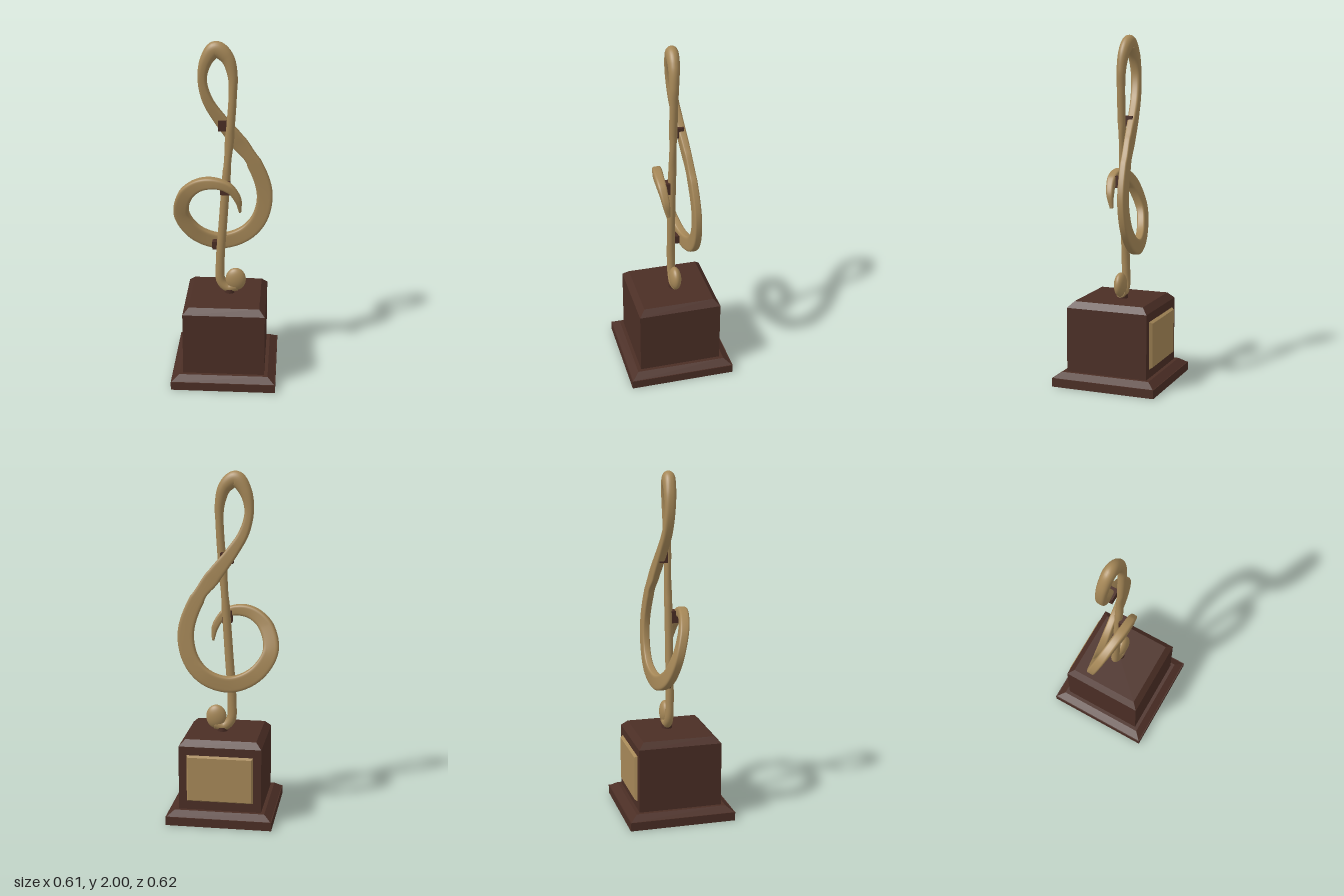
import * as THREE from 'three';

const gold = new THREE.MeshStandardMaterial({ color: 0xa58757, name: 'antique gold' });
const wood = new THREE.MeshStandardMaterial({ color: 0x4b2e25, name: 'dark wood' });

function add(parent, name, geometry, material, x = 0, y = 0, z = 0) {
  const mesh = new THREE.Mesh(geometry, material);
  mesh.name = name;
  mesh.position.set(x, y, z);
  parent.add(mesh);
  return mesh;
}

// Box from y0 to y1 whose top is drawn in by an inset
function taperedBox(width, depth, y0, y1, inset) {
  const g = new THREE.BoxGeometry(width, y1 - y0, depth);
  const p = g.attributes.position;
  for (let i = 0; i < p.count; i++) {
    if (p.getY(i) > 0) {
      p.setX(i, p.getX(i) - Math.sign(p.getX(i)) * inset);
      p.setZ(i, p.getZ(i) - Math.sign(p.getZ(i)) * inset);
    }
  }
  g.translate(0, (y0 + y1) / 2, 0);
  g.computeVertexNormals();
  return g;
}

// Sweep along stations [x, y, z, half width in plane, half depth, corner power]
// Power 1 gives a round section, smaller values a squarer one
function sweep(stations, rings, sides) {
  const path = new THREE.CatmullRomCurve3(stations.map(s => new THREE.Vector3(s[0], s[1], s[2])));
  const size = new THREE.CatmullRomCurve3(stations.map(s => new THREE.Vector3(s[3], s[4], s[5])));
  const front = new THREE.Vector3(0, 0, 1);
  const pos = [], index = [];
  const shape = (v, k) => Math.sign(v) * Math.pow(Math.abs(v), k);
  for (let i = 0; i <= rings; i++) {
    const t = i / rings;
    const c = path.getPoint(t), s = size.getPoint(t), T = path.getTangent(t);
    const N = new THREE.Vector3().crossVectors(front, T).normalize();
    const B = new THREE.Vector3().crossVectors(T, N);
    for (let j = 0; j < sides; j++) {
      const a = (j / sides) * Math.PI * 2;
      const v = c.clone()
        .addScaledVector(N, shape(Math.cos(a), s.z) * s.x)
        .addScaledVector(B, shape(Math.sin(a), s.z) * s.y);
      pos.push(v.x, v.y, v.z);
    }
  }
  for (let i = 0; i < rings; i++) {
    for (let j = 0; j < sides; j++) {
      const k = (j + 1) % sides;
      const a = i * sides + j, b = i * sides + k, c = a + sides, d = b + sides;
      index.push(a, b, c, b, d, c);
    }
  }
  // End caps
  const last = rings * sides;
  for (let j = 1; j < sides - 1; j++) {
    index.push(0, j + 1, j, last, last + j, last + j + 1);
  }
  const g = new THREE.BufferGeometry();
  g.setAttribute('position', new THREE.Float32BufferAttribute(pos, 3));
  g.setIndex(index);
  g.computeVertexNormals();
  return g;
}

export function createModel() {
  const model = new THREE.Group();
  model.name = 'trophy';

  // Stepped wooden base
  const base = new THREE.Group();
  base.name = 'base';
  model.add(base);
  add(base, 'baseSlab', new THREE.BoxGeometry(0.61, 0.05, 0.62), wood, 0, 0.025, 0);
  add(base, 'baseMoulding', taperedBox(0.6, 0.61, 0.05, 0.08, 0.041), wood);
  add(base, 'baseBody', new THREE.BoxGeometry(0.476, 0.375, 0.486), wood, 0, 0.2675, 0);
  add(base, 'baseTop', taperedBox(0.476, 0.486, 0.455, 0.49, 0.034), wood);

  // Plate on the back of the base
  const plate = add(base, 'backPlate', taperedBox(0.384, 0.275, 0, 0.016, 0.01), gold, 0, 0.268, -0.243);
  plate.rotation.x = -Math.PI / 2;

  // Clef: stem upwards, top loop, wide bowl, inner spiral
  const clef = new THREE.Group();
  clef.name = 'clef';
  model.add(clef);
  const stem = [
    [0.06, 0.533, -0.015, 0.034, 0.028, 1],
    [0.01, 0.52, -0.015, 0.028, 0.027, 1],
    [-0.03, 0.56, -0.015, 0.028, 0.025, 1],
    [-0.036, 0.67, -0.012, 0.026, 0.024, 1],
    [-0.018, 0.95, -0.01, 0.025, 0.023, 1],
    [0.003, 1.25, -0.01, 0.024, 0.023, 1],
    [0.023, 1.5, -0.01, 0.024, 0.023, 1],
    [0.036, 1.7, -0.01, 0.023, 0.024, 1],
    [0.035, 1.81, -0.012, 0.028, 0.027, 1],
  ];
  const loop = [
    [0.004, 1.91, -0.018, 0.038, 0.032, 1],
    [-0.058, 1.954, -0.024, 0.046, 0.036, 0.95],
    [-0.112, 1.89, -0.03, 0.036, 0.034, 0.85],
    [-0.135, 1.78, -0.036, 0.026, 0.029, 0.7],
    [-0.108, 1.66, -0.045, 0.029, 0.027, 0.55],
    [-0.042, 1.55, -0.058, 0.035, 0.025, 0.45],
  ];
  const bowl = [
    [0.056, 1.42, -0.073, 0.043, 0.022, 0.4],
    [0.155, 1.28, -0.085, 0.043, 0.022, 0.4],
    [0.218, 1.09, -0.095, 0.046, 0.022, 0.4],
    [0.188, 0.93, -0.1, 0.046, 0.023, 0.4],
    [0.1, 0.83, -0.1, 0.046, 0.024, 0.4],
    [-0.04, 0.791, -0.085, 0.046, 0.025, 0.4],
  ];
  const spiral = [
    [-0.18, 0.85, -0.058, 0.046, 0.026, 0.4],
    [-0.261, 0.98, -0.026, 0.045, 0.026, 0.4],
    [-0.23, 1.115, 0.015, 0.042, 0.027, 0.4],
    [-0.15, 1.185, 0.04, 0.036, 0.028, 0.45],
    [-0.06, 1.2, 0.053, 0.031, 0.028, 0.5],
    [0.02, 1.172, 0.053, 0.027, 0.026, 0.5],
    [0.07, 1.1, 0.043, 0.02, 0.021, 0.6],
    [0.082, 1.02, 0.03, 0.007, 0.01, 0.8],
  ];
  add(clef, 'clefRibbon', sweep([...stem, ...loop, ...bowl, ...spiral], 280, 28), gold);

  // Rounded curl at the foot of the stem
  const curl = add(clef, 'footCurl', new THREE.SphereGeometry(1, 32, 20), gold, 0.056, 0.574, -0.015);
  curl.scale.set(0.06, 0.071, 0.034);

  // Dark joints where the strands cross, and under the foot
  const joints = [
    ['upperJoint', 0.07, 0.06, 0.05, -0.012, 1.515, -0.048],
    ['middleJoint', 0.055, 0.07, 0.05, -0.003, 1.165, 0.03],
    ['lowerJoint', 0.055, 0.05, 0.055, -0.055, 0.785, -0.043],
  ];
  for (const [name, w, h, d, x, y, z] of joints) {
    add(clef, name, new THREE.BoxGeometry(w, h, d), wood, x, y, z);
  }
  add(clef, 'footJoint', new THREE.CylinderGeometry(0.03, 0.03, 0.03, 20), wood, 0.02, 0.498, -0.015);

  return model;
}
